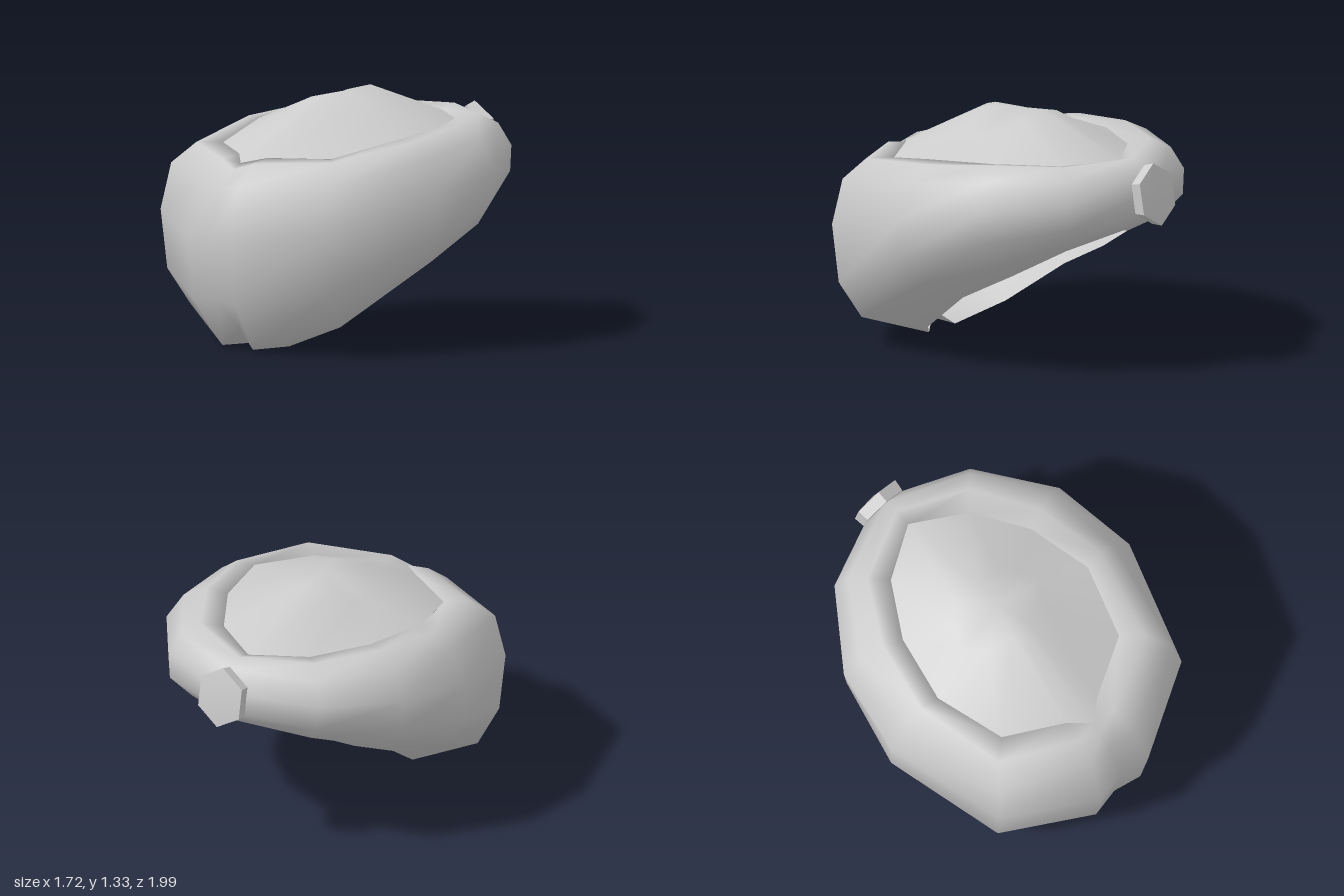
import * as THREE from 'three';
import { toCreasedNormals } from 'three/addons/utils/BufferGeometryUtils.js';

// Mirror a half set of cross-sections (front centre to back centre) into a full loop
function mirrorLoop(half) {
  const flip = half.slice(1, -1).reverse().map(s => s.map(([x, y, z]) => [-x, y, z]));
  return [...half, ...flip];
}

// Skin a closed loop of cross-sections
function skin(half) {
  const loop = mirrorLoop(half), n = loop.length, m = loop[0].length;
  const index = [];
  for (let i = 0; i < n; i++) {
    for (let j = 0; j < m - 1; j++) {
      const a = i * m + j, b = ((i + 1) % n) * m + j;
      index.push(a, a + 1, b, b, a + 1, b + 1);
    }
  }
  const geo = new THREE.BufferGeometry();
  geo.setAttribute('position', new THREE.Float32BufferAttribute(loop.flat(2), 3));
  geo.setIndex(index);
  geo.computeVertexNormals();
  return geo;
}

// Each section runs from the top inner rim, over the outside, to the bottom inner rim
const sections = [
  [[0, 1.0, 0.75], [0, 0.97, 0.81], [0, 0.88, 0.89], [0, 0.62, 0.97], [0, 0.28, 0.92], [0, 0.10, 0.76], [0, 0.09, 0.57]],
  [[0.11, 1.03, 0.66], [0.12, 1.01, 0.78], [0.15, 0.90, 0.91], [0.17, 0.62, 1.0], [0.16, 0.27, 0.95], [0.12, 0.01, 0.78], [0.11, 0, 0.51]],
  [[0.42, 1.04, 0.49], [0.53, 1.04, 0.59], [0.62, 0.93, 0.69], [0.66, 0.68, 0.73], [0.64, 0.36, 0.70], [0.57, 0.17, 0.60], [0.33, 0.11, 0.34]],
  [[0.54, 1.12, 0.12], [0.65, 1.12, 0.10], [0.75, 1.04, 0.10], [0.86, 0.86, 0.10], [0.86, 0.65, 0.10], [0.74, 0.48, 0.06], [0.43, 0.35, 0.02]],
  [[0.46, 1.14, -0.24], [0.57, 1.165, -0.28], [0.69, 1.10, -0.33], [0.78, 0.95, -0.36], [0.76, 0.78, -0.36], [0.64, 0.63, -0.37], [0.39, 0.51, -0.28]],
  [[0.28, 1.14, -0.53], [0.37, 1.17, -0.62], [0.44, 1.12, -0.70], [0.49, 1.0, -0.75], [0.48, 0.86, -0.75], [0.39, 0.75, -0.68], [0.26, 0.67, -0.55]],
  [[0, 1.14, -0.70], [0, 1.17, -0.79], [0, 1.13, -0.88], [0, 1.03, -0.95], [0, 0.92, -0.95], [0, 0.83, -0.88], [0, 0.76, -0.72]],
];

// Crown of the dome, one point per section
const crown = [
  [0, 1.30, 0.20], [0.06, 1.295, 0.19], [0.20, 1.25, 0.14], [0.29, 1.22, 0.03],
  [0.24, 1.24, -0.07], [0.15, 1.29, -0.15], [0, 1.33, -0.18],
];

const inset = ([x, y, z], scale, drop) => [x * scale, y - drop, z * scale];

export function createModel() {
  const group = new THREE.Group();
  const material = new THREE.MeshStandardMaterial({ color: 0xcccccc, side: THREE.DoubleSide });
  const add = (name, geo) => {
    const mesh = new THREE.Mesh(geo, material);
    mesh.name = name;
    group.add(mesh);
    return mesh;
  };

  // Hollow ring with a lip turned down inside the top opening
  add('collarShell', skin(sections.map(s => [inset(s[0], 0.93, 0.27), ...s])));

  // Dome closing the top opening, with a short skirt below its rim
  const dome = skin(sections.map((s, i) => [
    [0, 1.315, 0.01], crown[i], inset(s[0], 1.01, 0), inset(s[0], 0.88, 0.15),
  ]));
  add('dome', toCreasedNormals(dome, 1.0));

  // Six-sided knob on the back, its outer face slightly domed
  const profile = [[0, -0.05], [0.16, -0.035], [0.17, 0.03], [0, 0.05]]
    .map(([r, h]) => new THREE.Vector2(r, h));
  const knobGeo = new THREE.LatheGeometry(profile, 6);
  knobGeo.rotateX(-Math.PI / 2);
  knobGeo.scale(0.9, 1, 1);
  knobGeo.rotateX(0.17);
  const knob = add('backKnob', toCreasedNormals(knobGeo, 0.7));
  knob.position.set(0, 0.995, -0.935);

  return group;
}
